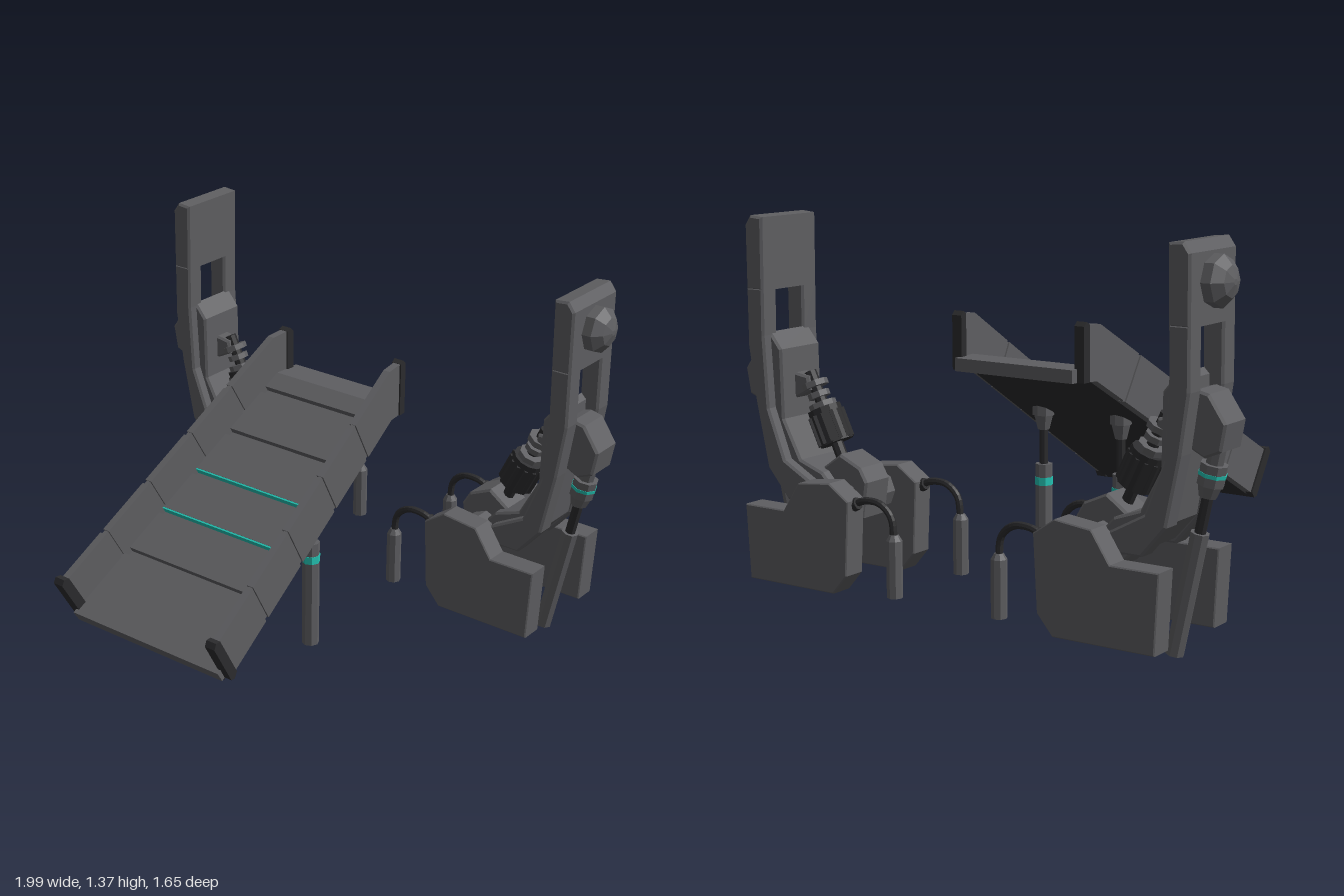
import * as THREE from 'three';

const mat = (name, color, extra = {}) => Object.assign(new THREE.MeshStandardMaterial({ color, flatShading: true, ...extra }), { name });

export function createModel() {
  const grey = mat('gunmetal', 0x5e5e61);
  const dark = mat('black rubber', 0x2b2b2d);
  const teal = mat('teal light', 0x24c4b4);
  const root = new THREE.Group();
  root.name = 'loadingRampAndClamps';

  const add = (parent, name, geo, material) => {
    const m = new THREE.Mesh(geo, material);
    m.name = name;
    parent.add(m);
    return m;
  };
  const shapeOf = pts => new THREE.Shape(pts.map(p => new THREE.Vector2(...p)));

  // Plate with an x-y outline, between z0 and z1
  const plate = (parent, name, pts, z0, z1, material = grey, bevel = 0.008) => {
    const g = new THREE.ExtrudeGeometry(shapeOf(pts), {
      depth: z1 - z0 - 2 * bevel, bevelEnabled: bevel > 0, bevelSize: bevel,
      bevelOffset: -bevel, bevelThickness: bevel, bevelSegments: 1,
    });
    g.translate(0, 0, z0 + bevel);
    return add(parent, name, g, material);
  };

  // Tapered bar from a to b
  const rod = (parent, name, a, b, r0, r1, material = grey, sides = 8) => {
    const A = new THREE.Vector3(...a), B = new THREE.Vector3(...b);
    const m = add(parent, name, new THREE.CylinderGeometry(r1, r0, A.distanceTo(B), sides), material);
    m.position.copy(A).add(B).multiplyScalar(0.5);
    m.quaternion.setFromUnitVectors(new THREE.Vector3(0, 1, 0), B.sub(A).normalize());
    return m;
  };

  // ---- Ramp: u runs up the slope, v stands square to it, giving [z, y] ----
  const ramp = new THREE.Group();
  ramp.name = 'ramp';
  root.add(ramp);
  const P = (u, v) => [0.72 - 0.866 * u + 0.5 * v, 0.24 + 0.5 * u + 0.866 * v];
  const wall = z => 0.284 + 0.0766 * z; // half width, narrowing to the back

  // Prism with a z-y outline, spanning x0(z) to x1(z)
  const prism = (name, pts, x0, x1, material = grey) => {
    const g = new THREE.ExtrudeGeometry(shapeOf(pts.map(([z, y]) => [-z, y])), { depth: 1, bevelEnabled: false });
    g.rotateY(Math.PI / 2);
    const p = g.attributes.position;
    for (let i = 0; i < p.count; i++) {
      const z = p.getZ(i), t = p.getX(i);
      p.setX(i, x0(z) + (x1(z) - x0(z)) * t);
    }
    g.computeVertexNormals();
    return add(ramp, name, g, material);
  };
  const across = (name, pts, material) => prism(name, pts, z => -wall(z) + 0.006, z => wall(z) - 0.006, material);
  const quad = (u0, u1, v0, v1) => [P(u0, v0), P(u1, v0), P(u1, v1), P(u0, v1)];

  // Floor base, then the deck plates with narrow grooves between them
  across('floorBase', [P(-0.03, 0), P(1.155, 0), [-0.388, 0.82], [-0.388, 0.845], P(1.16, 0.022), P(-0.03, 0.022)]);
  across('underside', quad(-0.02, 1.15, -0.006, 0), dark);
  const cuts = [-0.045, 0.27, 0.47, 0.667, 0.87, 1.09];
  cuts.forEach((c, i) => {
    const a = c + 0.014;
    if (i < 5) across('deckPlate', quad(a, cuts[i + 1] - 0.014, 0.021, 0.045));
    else across('deckTopPlate', [P(a, 0.021), P(1.16, 0.021), [-0.388, 0.844], [-0.388, 0.867], P(1.178, 0.045), P(a, 0.045)]);
    if (i === 2 || i === 3) across('deckLight', quad(a - 0.006, a, 0.021, 0.044), teal);
  });

  // Side walls in segments over a thinner core
  const seams = [0, 0.243, 0.486, 0.73, 0.97];
  for (const s of [-1, 1]) {
    const side = (name, pts, half, material) =>
      prism(name, pts, z => s * (wall(z) + 0.003) - half, z => s * (wall(z) + 0.003) + half, material);
    const back = [P(1.155, 0), [-0.335, 0.82], [-0.335, 1.02], P(1.235, 0.18)];
    side('wallCore', [P(0, 0.005), ...back, P(0, 0.175)], 0.008);
    seams.forEach((u, i) => {
      const a = u + (i ? 0.008 : 0);
      const pts = i < 4 ? quad(a, seams[i + 1] - 0.008, 0, 0.18) : [P(a, 0), ...back, P(a, 0.18)];
      side('wallPanel', pts, 0.014);
    });
    // Rubber end caps
    side('frontCap', [P(-0.014, 0), P(0, -0.012), P(0.024, 0), P(0.024, 0.185), P(0.005, 0.198), P(-0.014, 0.185)], 0.021, dark);
    side('backCap', [[-0.328, 0.82], [-0.36, 0.82], [-0.36, 1.015], [-0.345, 1.03], [-0.328, 1.02]], 0.02, dark);

    // Telescopic support leg
    const x = s * 0.17, z = 0.05;
    rod(ramp, 'legBase', [x, 0, z], [x, 0.42, z], 0.032, 0.032);
    rod(ramp, 'legLight', [x, 0.34, z], [x, 0.37, z], 0.034, 0.034, teal);
    rod(ramp, 'legRod', [x, 0.42, z], [x, 0.57, z], 0.016, 0.016, dark);
    rod(ramp, 'legHead', [x, 0.55, z], [x, 0.605, z], 0.022, 0.036);
    rod(ramp, 'legMount', [x, 0.605, z], [x, 0.645, z], 0.042, 0.042);
  }

  // ---- Clamp tower, symmetric about its own z = 0 ----
  const tower = () => {
    const t = new THREE.Group();
    // Outer mast: solid head and two bent rails, leaving a slot
    plate(t, 'mastHead', [[0.91, 1.1], [0.91, 1.33], [0.885, 1.365], [0.83, 1.36], [0.833, 1.1]], -0.145, 0.145);
    const rail = [[0.91, 1.11], [0.833, 1.11], [0.835, 0.94], [0.82, 0.68], [0.75, 0.5], [0.62, 0.43], [0.62, 0.36],
      [0.74, 0.36], [0.83, 0.465], [0.88, 0.7], [0.91, 0.9]];
    plate(t, 'mastRail', rail, -0.145, -0.068);
    plate(t, 'mastRail', rail, 0.068, 0.145);
    // Inner brace
    plate(t, 'innerBrace', [[0.84, 0.95], [0.79, 0.89], [0.785, 0.64], [0.71, 0.5], [0.61, 0.465], [0.55, 0.4], [0.6, 0.33],
      [0.74, 0.38], [0.82, 0.47], [0.86, 0.7], [0.86, 0.93]], -0.105, 0.105);
    // Hub block and axle
    plate(t, 'hub', [[0.56, 0.53], [0.47, 0.49], [0.44, 0.44], [0.46, 0.31], [0.6, 0.29], [0.68, 0.36], [0.66, 0.46]], -0.066, 0.066);
    rod(t, 'axle', [0.55, 0.37, -0.15], [0.55, 0.37, 0.15], 0.07, 0.07);
    // Outer elbow block
    plate(t, 'elbowBlock', [[0.89, 0.9], [0.935, 0.89], [0.997, 0.8], [0.98, 0.71], [0.92, 0.685], [0.85, 0.72], [0.85, 0.89]], -0.067, 0.067);
    // Faceted knob on the mast head
    rod(t, 'knobRim', [0.9, 1.235, 0], [0.945, 1.235, 0], 0.085, 0.085);
    rod(t, 'knobDome', [0.945, 1.235, 0], [0.975, 1.235, 0], 0.085, 0.052);
    rod(t, 'knobTip', [0.975, 1.235, 0], [0.988, 1.235, 0], 0.052, 0.01);

    // Outer piston, leaning in towards the ground
    const at = y => [0.782 + (y - 0.015) * 0.217, y, 0];
    rod(t, 'pistonFoot', at(0.015), at(0.43), 0.032, 0.032);
    rod(t, 'pistonRod', at(0.42), at(0.58), 0.02, 0.02, dark);
    rod(t, 'pistonCollar', at(0.55), at(0.59), 0.03, 0.042);
    rod(t, 'pistonCollar', at(0.59), at(0.66), 0.046, 0.046);
    rod(t, 'pistonLight', at(0.62), at(0.632), 0.048, 0.048, teal);
    rod(t, 'pistonNeck', at(0.66), at(0.73), 0.03, 0.03);

    // Inner damper with a ribbed barrel
    const along = k => [0.74 - 0.115 * k, 0.79 - 0.24 * k, 0];
    rod(t, 'damperRod', along(-0.05), along(1.35), 0.022, 0.022, dark);
    rod(t, 'damperBarrel', along(0.48), along(0.98), 0.062, 0.062, dark, 12);
    for (let i = 0; i < 12; i++) {
      const a = i * Math.PI / 6, c = Math.cos(a) * 0.062, z = Math.sin(a) * 0.062;
      const off = k => { const p = along(k); return [p[0] + 0.902 * c, p[1] - 0.432 * c, z]; };
      rod(t, 'damperRib', off(0.56), off(0.96), 0.009, 0.009, dark, 4);
    }
    for (const [k, r] of [[0.1, 0.048], [0.25, 0.04], [0.4, 0.05]]) rod(t, 'damperCollar', along(k), along(k + 0.08), r, r);
    plate(t, 'damperBracket', [[0.8, 0.8], [0.73, 0.79], [0.72, 0.74], [0.8, 0.7]], -0.035, 0.035);

    // Feet with their hoses and hanging nozzles
    for (const s of [-1, 1]) {
      const z = s * 0.188;
      plate(t, 'foot', [[0.86, 0.345], [0.845, 0.075], [0.46, 0.075], [0.4, 0.145], [0.386, 0.41], [0.47, 0.466], [0.61, 0.45],
        [0.68, 0.345]], z - 0.045, z + 0.045, grey, 0.004);
      rod(t, 'hoseSocket', [0.425, 0.38, z], [0.375, 0.4, z], 0.026, 0.022, dark);
      const path = new THREE.CatmullRomCurve3([[0.4, 0.39], [0.35, 0.412], [0.28, 0.41], [0.232, 0.37], [0.22, 0.29]]
        .map(([x, y]) => new THREE.Vector3(x, y, z)));
      add(t, 'hose', new THREE.TubeGeometry(path, 16, 0.013, 8), dark);
      rod(t, 'nozzle', [0.22, 0.09, z], [0.22, 0.29, z], 0.028, 0.028);
      rod(t, 'nozzleCap', [0.22, 0.29, z], [0.22, 0.31, z], 0.028, 0.016);
    }
    t.position.z = -0.59;
    return t;
  };
  const left = tower(), right = tower();
  left.name = 'leftClampTower';
  right.name = 'rightClampTower';
  right.rotation.y = Math.PI;
  root.add(left, right);
  return root;
}
